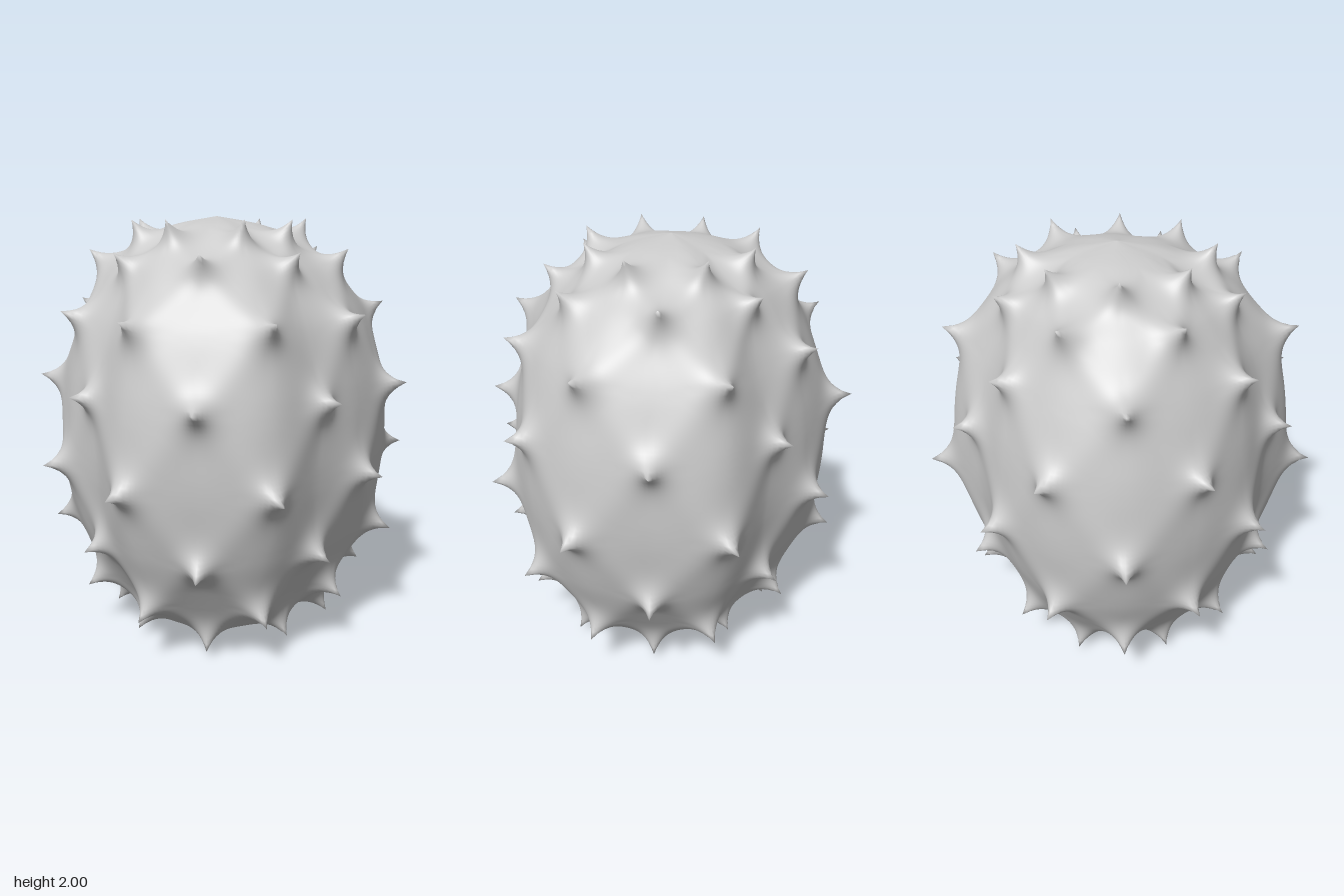
import * as THREE from 'three';

const STEP = Math.PI / 8; // half the spacing between spikes in one ring
// Lobed outline: body radius at angles 11.25 + 22.5k degrees, from +x towards +z
const LOBES = [0.83, 0.775, 0.72, 0.70, 0.79, 0.785, 0.80, 0.71,
  0.745, 0.79, 0.83, 0.81, 0.755, 0.725, 0.825, 0.81];
// Side profile from base to crown: (scale of the outline, height)
const PROFILE = new THREE.SplineCurve([
  [0, 0.005], [0.3, 0.035], [0.59, 0.15], [0.765, 0.3], [0.92, 0.54], [1, 0.86],
  [0.98, 1.21], [0.865, 1.525], [0.67, 1.755], [0.455, 1.872], [0.26, 1.957], [0, 2],
].map(([s, y]) => new THREE.Vector2(s, y)));
const ROWS = 11;
const FIRST = 2, LAST = 9; // profile rows that carry spikes

// Periodic smooth interpolation of the outline (a in steps)
function outline(a) {
  const k = Math.floor(a), f = a - k;
  const p = (i) => LOBES[(((k + i) % 16) + 16) % 16];
  const [a0, a1, a2, a3] = [p(-1), p(0), p(1), p(2)];
  return a1 + 0.5 * f * (a2 - a0 + f * (2 * a0 - 5 * a1 + 4 * a2 - a3
    + f * (3 * (a1 - a2) + a3 - a0)));
}

// Point on the bare skin: a = angle in steps, v = profile row, both fractional
function skin(a, v) {
  const p = PROFILE.getPoint(v / ROWS);
  const theta = (a + 0.5) * STEP;
  const r = Math.max(0, p.x) * outline(a);
  const shift = THREE.MathUtils.smoothstep(p.y, 1.5, 2);
  return new THREE.Vector3(r * Math.cos(theta) - 0.05, p.y,
    r * Math.sin(theta) - 0.05 * shift);
}

function skinNormal(a, v) {
  const e = 0.05;
  const up = skin(a, v + e).sub(skin(a, v - e));
  const round = skin(a + e, v).sub(skin(a - e, v));
  return up.cross(round).normalize();
}

// Eight rings of eight spikes, every other ring turned by half a spacing
function spikeRoots() {
  const roots = [];
  for (let v = FIRST; v <= LAST; v++) {
    for (let k = 0; k < 8; k++) {
      const a = 2 * k + (v % 2 ? 0 : 1);
      roots.push({ at: skin(a, v), dir: skinNormal(a, v) });
    }
  }
  return roots;
}

// Faint ridges that join neighbouring spikes diagonally
function ridge(a, v) {
  const fade = Math.max(0, Math.min(1, v - FIRST + 1, LAST + 1 - v));
  const off = (x) => Math.abs(x - 2 * Math.round(x / 2));
  const d = Math.min(off(a + v - 1), off(a - v + 1));
  return 0.006 * fade * Math.exp(-((d / 0.35) ** 2));
}

// The rind: the skin raised by ridges and drawn out into concave spikes
function rindGeometry() {
  const around = 288, up = 198; // multiples of 16 and 11, so each tip is a vertex
  const roots = spikeRoots();
  const pos = [], index = [];
  for (let j = 0; j <= up; j++) {
    for (let i = 0; i < around; i++) {
      const a = (i / around) * 16, v = (j / up) * ROWS;
      const base = skin(a, v), p = base.clone();
      const h = ridge(a, v);
      if (h > 0) p.addScaledVector(skinNormal(a, v), h);
      for (const { at, dir } of roots) {
        const d = base.distanceTo(at);
        if (d < 0.3) p.addScaledVector(dir, 0.128 * Math.exp(-d / 0.048));
      }
      pos.push(p.x, p.y, p.z);
      if (j === up) continue;
      const n = (i + 1) % around;
      const p0 = j * around + i, p1 = j * around + n;
      if (j < up - 1) index.push(p0, p0 + around, p1 + around);
      if (j > 0) index.push(p0, p1 + around, p1);
    }
  }
  const g = new THREE.BufferGeometry();
  g.setAttribute('position', new THREE.Float32BufferAttribute(pos, 3));
  g.setIndex(index);
  g.computeVertexNormals();
  // The pole vertices face straight down and straight up
  for (let i = 0; i < around; i++) {
    g.attributes.normal.setXYZ(i, 0, -1, 0);
    g.attributes.normal.setXYZ(up * around + i, 0, 1, 0);
  }
  return g;
}

export function createModel() {
  const group = new THREE.Group();
  group.name = 'spikyFruit';
  const rind = new THREE.Mesh(rindGeometry(),
    new THREE.MeshStandardMaterial({ color: 0xcccccc }));
  rind.name = 'spikyRind';
  group.add(rind);
  return group;
}
